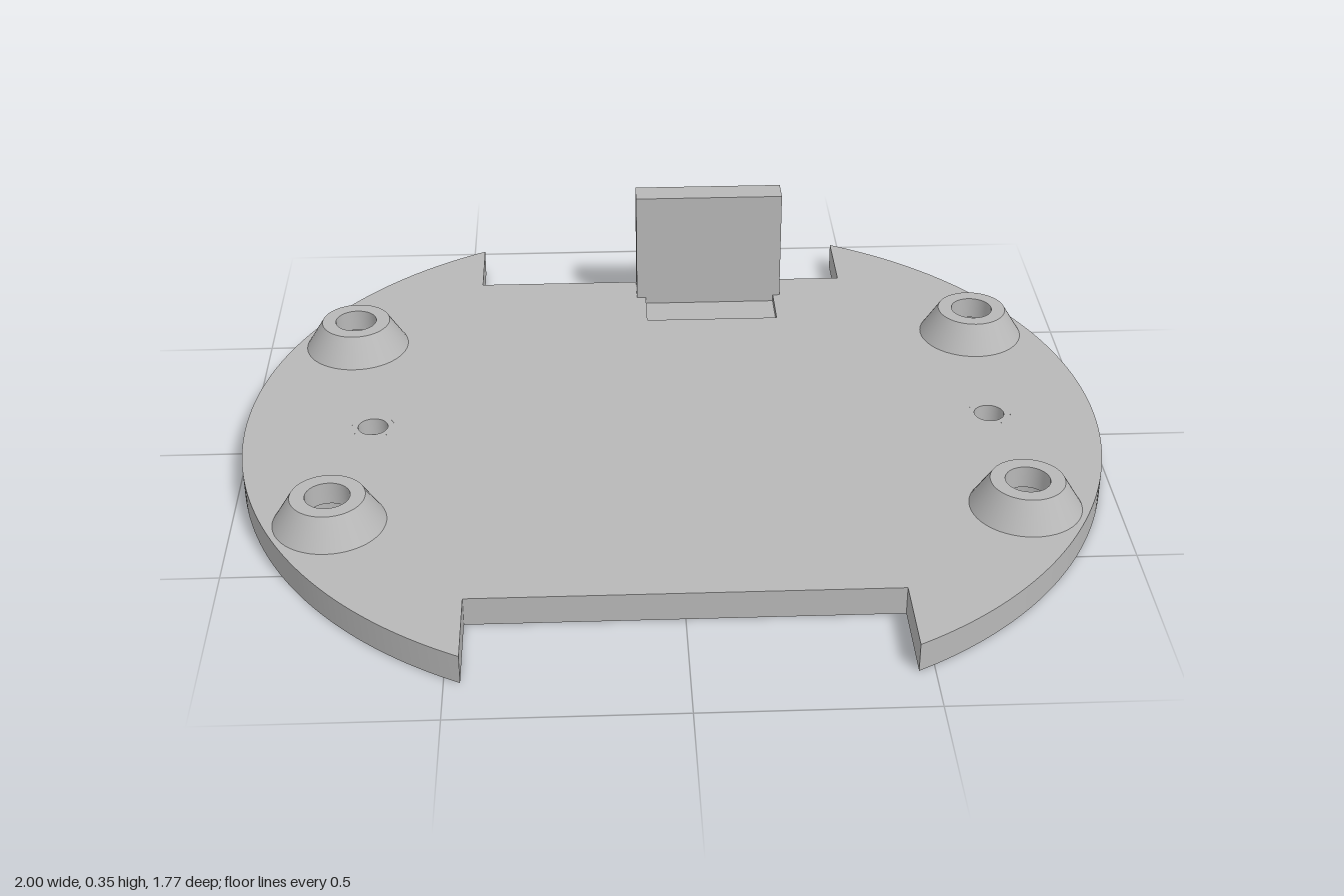
import * as THREE from 'three';
import { mergeGeometries, toCreasedNormals } from 'three/addons/utils/BufferGeometryUtils.js';

const T = 0.067;                                   // plate thickness
const NOTCH = 0.466;                               // half width of the end notches
const POST = { x: 0.768, z: 0.392, bore: 0.09 };
const SCREWS = [-0.702, 0.752];                    // x of the small screw holes
const RECESS = { x0: -0.042, x1: 0.288, z0: -0.61, z1: -0.487, depth: 0.018 };

// Turned part with crisp edges: one lathe band per profile segment
function turned(profile) {
  const bands = [];
  for (let i = 0; i < profile.length - 1; i++) {
    const pts = [profile[i], profile[i + 1]].map(([r, y]) => new THREE.Vector2(r, y));
    bands.push(new THREE.LatheGeometry(pts, 48));
  }
  return mergeGeometries(bands);
}

export function createModel() {
  const group = new THREE.Group();
  const grey = new THREE.MeshStandardMaterial({ color: 0xb8b8b8 });
  grey.name = 'grey plastic';

  function add(name, geometry, x = 0, y = 0, z = 0) {
    const mesh = new THREE.Mesh(geometry, grey);
    mesh.name = name;
    mesh.position.set(x, y, z);
    group.add(mesh);
  }

  // Round base plate with a notch at each end (shape y is -z)
  const a = Math.acos(NOTCH);
  const outline = new THREE.Shape();
  outline.absarc(0, 0, 1, -a, a, false);
  outline.lineTo(NOTCH, 0.695);
  outline.lineTo(-NOTCH, 0.695);
  outline.absarc(0, 0, 1, Math.PI - a, Math.PI + a, false);
  outline.lineTo(-NOTCH, -0.69);
  outline.lineTo(NOTCH, -0.69);
  outline.closePath();

  const drill = (x, z, r) => outline.holes.push(new THREE.Path().absarc(x, -z, r, 0, Math.PI * 2, true));
  for (const sx of [-1, 1]) for (const sz of [-1, 1]) drill(sx * POST.x, sz * POST.z, POST.bore);
  for (const x of SCREWS) drill(x, 0, 0.05);
  const { x0, x1, z0, z1, depth } = RECESS;
  outline.holes.push(new THREE.Path([[x0, -z0], [x1, -z0], [x1, -z1], [x0, -z1]]
    .map(([x, y]) => new THREE.Vector2(x, y))));

  const plate = new THREE.ExtrudeGeometry(outline, { depth: T, bevelEnabled: false, curveSegments: 48 });
  plate.rotateX(-Math.PI / 2);
  add('basePlate', toCreasedNormals(plate, 0.5));

  // Floor of the shallow pocket
  add('recessFloor', new THREE.BoxGeometry(x1 - x0, T - depth, z1 - z0),
    (x0 + x1) / 2, (T - depth) / 2, (z0 + z1) / 2);

  // Upright tab behind the pocket
  add('uprightTab', new THREE.BoxGeometry(0.37, 0.283, 0.067), 0.12, T + 0.1415, -0.642);

  // Conical standoffs, counterbored from below
  const post = turned([[0.125, T], [0.083, 0.135], [0.05, 0.135], [0.05, 0.082], [POST.bore, 0.082], [POST.bore, T]]);
  for (const sx of [-1, 1]) for (const sz of [-1, 1]) add('standoff', post, sx * POST.x, 0, sz * POST.z);

  // Screw holes, countersunk from below
  const screw = turned([[0.05, T], [0.035, T], [0.035, 0.025], [0.05, 0]]);
  for (const x of SCREWS) add('screwHole', screw, x);

  return group;
}
